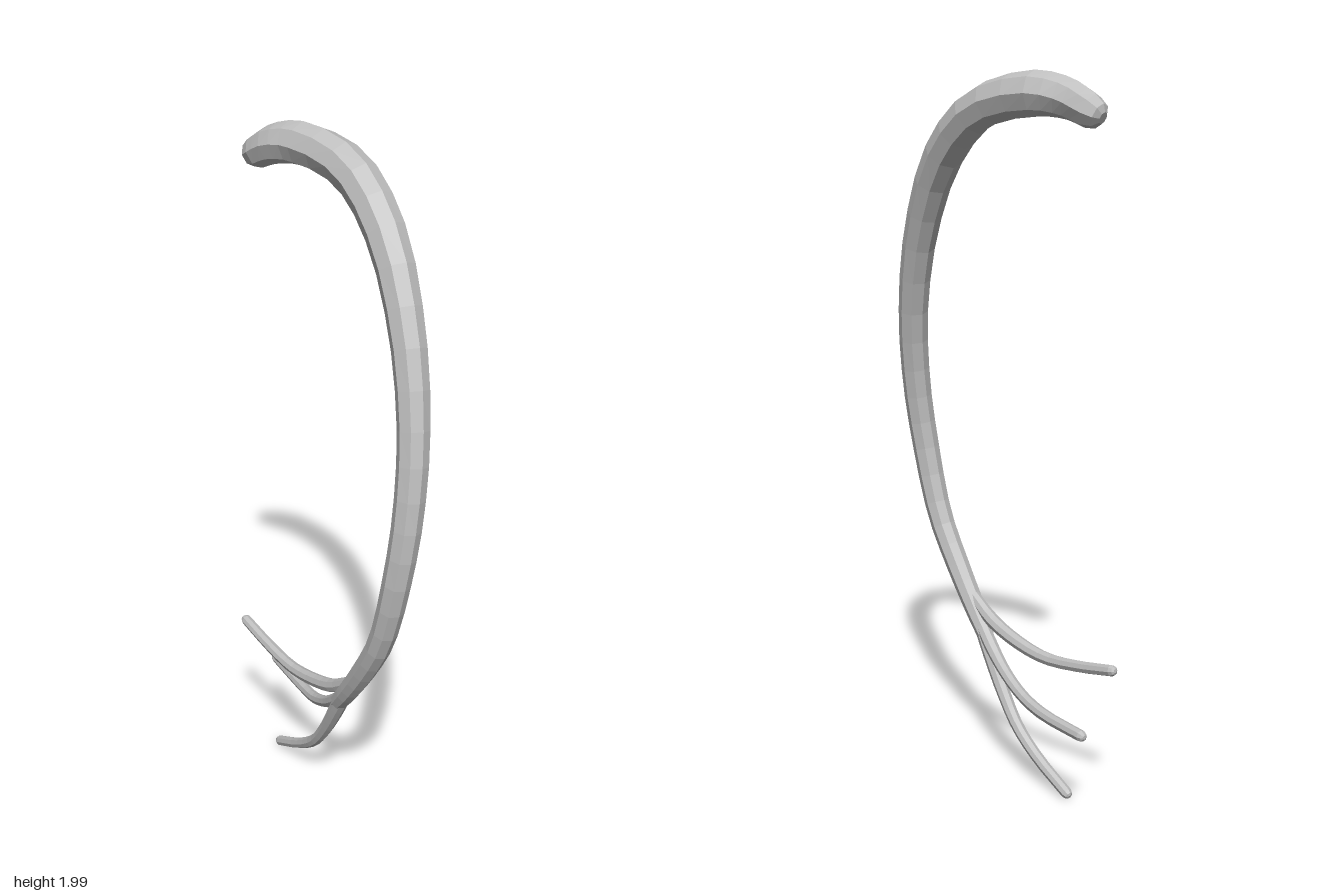
import * as THREE from 'three';

const SIDES = 8;

// Round-ended tube of varying thickness; each station is [x, y, z, radius]
function taperedTube(stations, steps) {
  const curve = new THREE.CatmullRomCurve3(stations.map(s => new THREE.Vector3(s[0], s[1], s[2])));
  const last = stations.length - 1;
  const rings = [];
  const addRing = (u, scale, shift) => {
    const f = u * last, i = Math.min(Math.floor(f), last - 1);
    const r = THREE.MathUtils.lerp(stations[i][3], stations[i + 1][3], f - i);
    const t = curve.getTangent(u);
    const n = t.clone().cross(new THREE.Vector3(1, 0, 0)).normalize();
    const b = n.clone().cross(t);
    const centre = curve.getPoint(u).addScaledVector(t, shift * r);
    const ring = [];
    for (let j = 0; j < SIDES; j++) {
      const a = (j / SIDES) * Math.PI * 2;
      ring.push(centre.clone()
        .addScaledVector(b, Math.cos(a) * r * scale)
        .addScaledVector(n, Math.sin(a) * r * scale));
    }
    rings.push(ring);
  };
  // start cap, body, end cap
  addRing(0, 0.35, -0.92);
  addRing(0, 0.75, -0.66);
  for (let i = 0; i <= steps; i++) addRing(i / steps, 1, 0);
  addRing(1, 0.75, 0.66);
  addRing(1, 0.35, 0.92);

  const pos = [];
  const tri = (...pts) => pts.forEach(p => pos.push(p.x, p.y, p.z));
  for (let i = 0; i < rings.length - 1; i++) {
    for (let j = 0; j < SIDES; j++) {
      const k = (j + 1) % SIDES;
      const a = rings[i][j], b = rings[i][k], c = rings[i + 1][j], d = rings[i + 1][k];
      tri(a, b, c);
      tri(b, d, c);
    }
  }
  // close the two tips
  const first = rings[0], end = rings[rings.length - 1];
  for (let j = 1; j < SIDES - 1; j++) {
    tri(first[0], first[j + 1], first[j]);
    tri(end[0], end[j], end[j + 1]);
  }
  const geo = new THREE.BufferGeometry();
  geo.setAttribute('position', new THREE.Float32BufferAttribute(pos, 3));
  geo.computeVertexNormals();
  return geo;
}

export function createModel() {
  const model = new THREE.Group();
  model.name = 'curvedBranch';
  const grey = new THREE.MeshStandardMaterial({ color: 0xbebebe, flatShading: true });
  grey.name = 'light grey';

  const add = (name, stations, steps) => {
    const mesh = new THREE.Mesh(taperedTube(stations, steps), grey);
    mesh.name = name;
    model.add(mesh);
  };

  // Thick curved stem from the hooked top down to the fork
  add('mainStem', [
    [-0.022, 1.895, -0.335, 0.046],
    [-0.008, 1.925, -0.27, 0.053],
    [0.02, 1.938, -0.18, 0.059],
    [0.048, 1.90, 0.0, 0.058],
    [0.045, 1.775, 0.155, 0.055],
    [0.022, 1.56, 0.283, 0.048],
    [-0.008, 1.32, 0.36, 0.043],
    [-0.038, 1.1, 0.385, 0.041],
    [-0.06, 0.9, 0.37, 0.039],
    [-0.066, 0.7, 0.315, 0.036],
    [-0.065, 0.56, 0.232, 0.034],
    [-0.059, 0.45, 0.15, 0.031],
    [-0.052, 0.385, 0.095, 0.026],
  ], 30);

  // Upper thin branch
  add('upperBranch', [
    [-0.062, 0.485, 0.16, 0.018],
    [-0.06, 0.43, 0.075, 0.021],
    [-0.058, 0.395, -0.03, 0.02],
    [-0.058, 0.377, -0.15, 0.018],
    [-0.058, 0.39, -0.28, 0.017],
    [-0.058, 0.415, -0.41, 0.016],
  ], 14);

  // Middle branch, swinging to the left
  add('middleBranch', [
    [-0.055, 0.43, 0.13, 0.02],
    [-0.04, 0.365, 0.06, 0.021],
    [-0.022, 0.31, -0.02, 0.018],
    [-0.004, 0.27, -0.11, 0.017],
    [0.018, 0.252, -0.22, 0.017],
    [0.041, 0.25, -0.395, 0.016],
  ], 14);

  // Lower branch, reaching the ground
  add('lowerBranch', [
    [-0.054, 0.41, 0.115, 0.024],
    [-0.048, 0.335, 0.07, 0.023],
    [-0.04, 0.235, 0.005, 0.02],
    [-0.033, 0.15, -0.065, 0.018],
    [-0.027, 0.085, -0.155, 0.017],
    [-0.022, 0.021, -0.28, 0.016],
  ], 14);

  return model;
}
